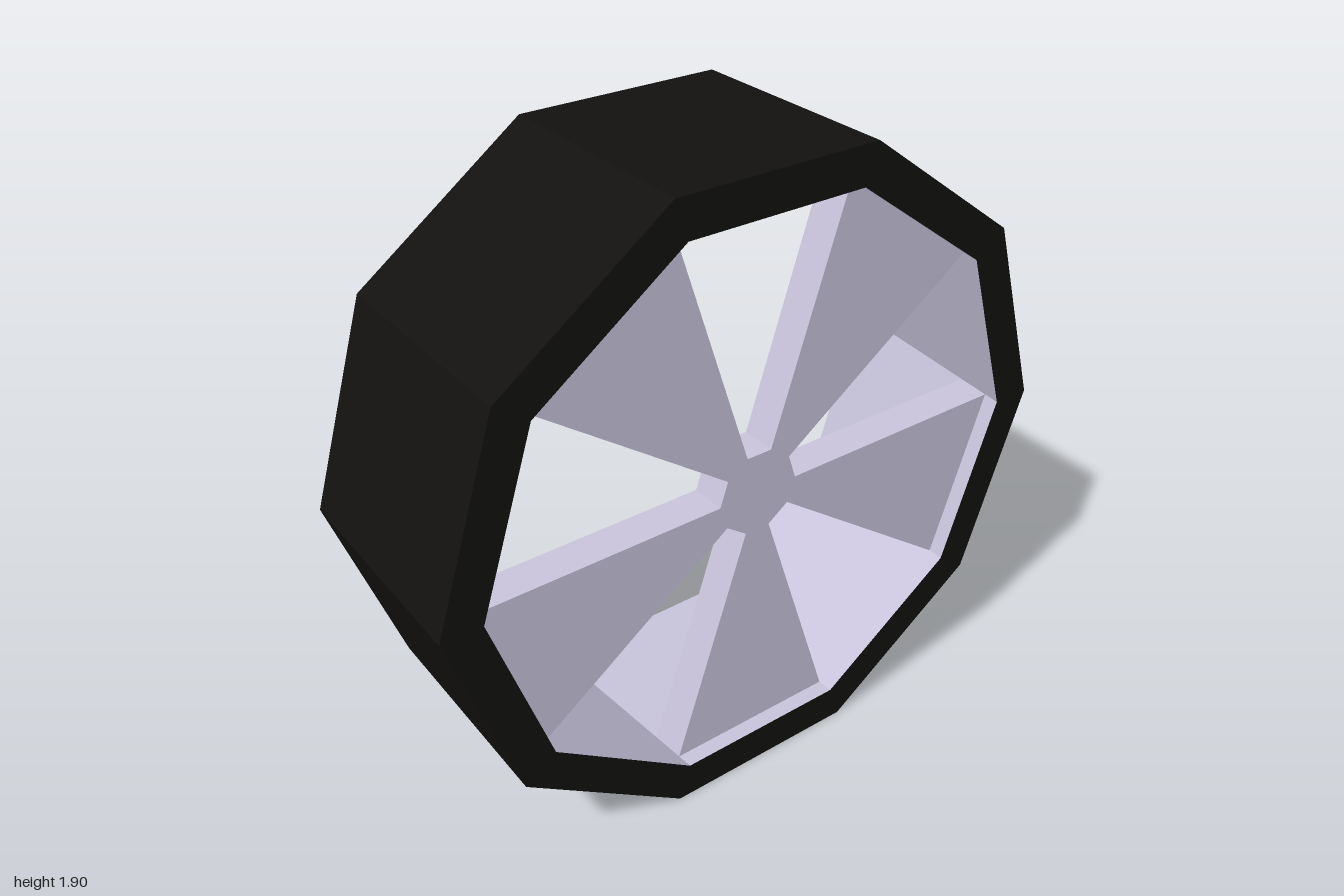
import * as THREE from 'three';

const SIDES = 10;
const HALF = 0.343;         // half the wheel width
const INNER_OUT = 0.88;     // bore radius on the spoke side (+x)
const INNER_BACK = 0.943;   // bore radius on the open side (-x)

// Ten-sided ring turned around the x axis; profile points are [radius, x]
function ring(name, profile, material) {
  const points = profile.map(([r, x]) => new THREE.Vector2(r, x));
  const geometry = new THREE.LatheGeometry(points, SIDES).rotateZ(-Math.PI / 2);
  const mesh = new THREE.Mesh(geometry, material);
  mesh.name = name;
  return mesh;
}

export function createModel() {
  const rubber = new THREE.MeshStandardMaterial({ color: 0x12110f, flatShading: true });
  const metal = new THREE.MeshStandardMaterial({ color: 0xc9c4dc, flatShading: true });

  const wheel = new THREE.Group();
  wheel.name = 'wheel';

  // Tyre: tread and both side walls
  wheel.add(ring('tyre', [[INNER_BACK, -HALF], [1, -HALF], [1, HALF], [INNER_OUT, HALF]], rubber));

  // Rim barrel: tapered inner wall facing the axle
  wheel.add(ring('rimBarrel', [[INNER_OUT, HALF], [INNER_BACK, -HALF]], metal));

  // Five wedge spokes joined at a small hub, set just behind the +x face
  const corner = (r, k) => {
    const a = (k * Math.PI * 2) / SIDES;
    return new THREE.Vector2(r * Math.cos(a), r * Math.sin(a));
  };
  const hubRadius = 0.13;
  const spokeRadius = 0.892; // ends sit slightly inside the rim wall
  const outline = [];
  for (let k = 0; k < SIDES; k += 2) {
    outline.push(corner(hubRadius, k), corner(hubRadius, k + 1));
    outline.push(corner(spokeRadius, k + 1), corner(spokeRadius, k + 2));
  }
  const spokeGeometry = new THREE.ExtrudeGeometry(new THREE.Shape(outline), { depth: 0.11, bevelEnabled: false });
  spokeGeometry.rotateY(Math.PI / 2).translate(0.18, 0, 0);
  const spokes = new THREE.Mesh(spokeGeometry, metal);
  spokes.name = 'spokes';
  wheel.add(spokes);

  // Rest the flat bottom side on the ground
  wheel.position.y = Math.cos(Math.PI / SIDES);

  const model = new THREE.Group();
  model.name = 'model';
  model.add(wheel);
  return model;
}
